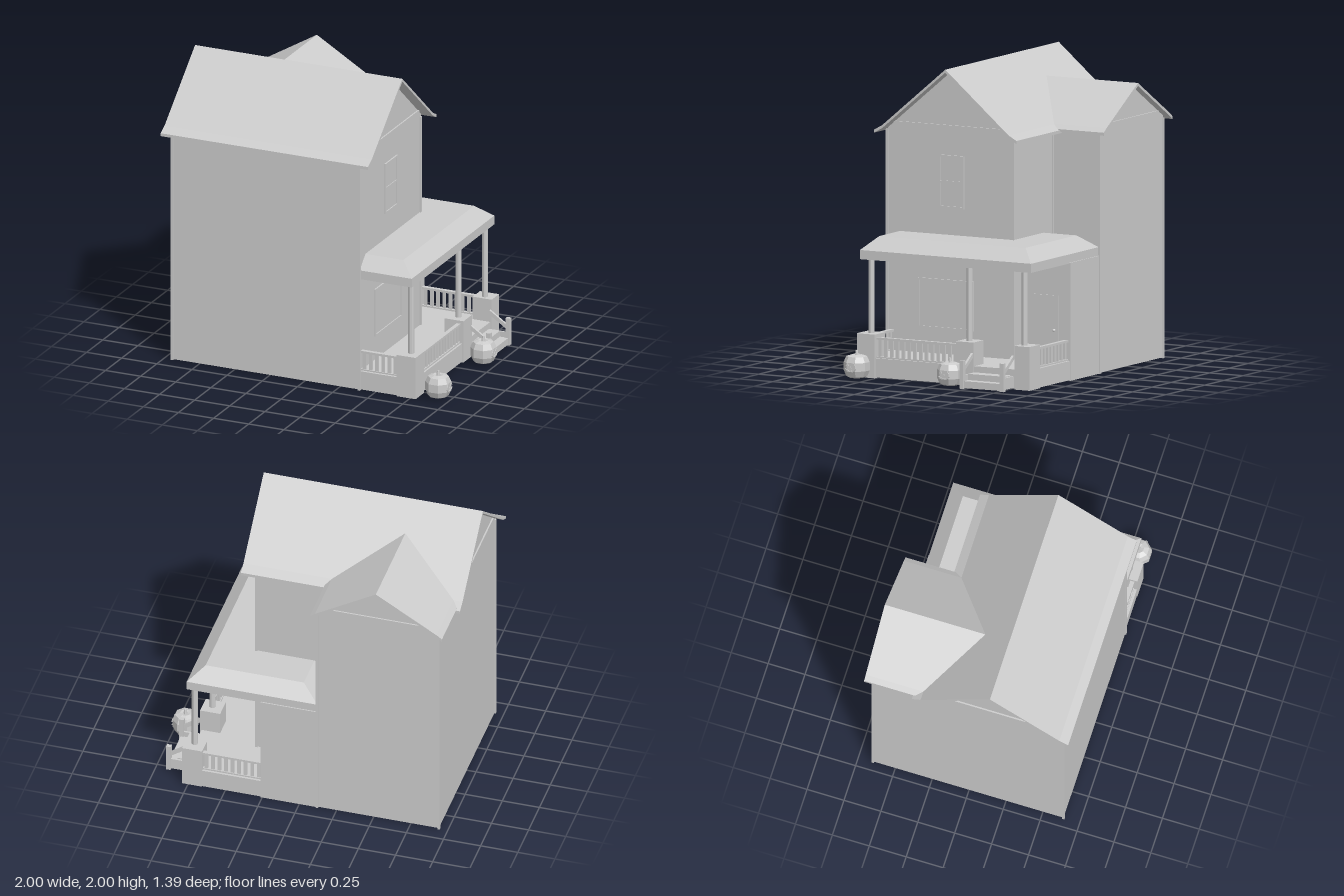
import * as THREE from 'three';

const mat = new THREE.MeshStandardMaterial({ color: 0xcccccc, flatShading: true, side: THREE.DoubleSide });

function add(parent, name, geo, x = 0, y = 0, z = 0) {
  const m = new THREE.Mesh(geo, mat);
  m.name = name;
  m.position.set(x, y, z);
  parent.add(m);
  return m;
}
// Box given by its limits on each axis
function box(parent, name, x0, x1, y0, y1, z0, z1) {
  return add(parent, name, new THREE.BoxGeometry(x1 - x0, y1 - y0, z1 - z0),
    (x0 + x1) / 2, (y0 + y1) / 2, (z0 + z1) / 2);
}
const shape = pts => new THREE.Shape(pts.map(p => new THREE.Vector2(...p)));
const extrude = (s, depth) => new THREE.ExtrudeGeometry(s, { depth, bevelEnabled: false });
// Footprint in (x, z) raised along y
const footprint = (pts, h, hole) => {
  const s = shape(pts.map(([x, z]) => [x, -z]));
  if (hole) s.holes.push(shape(hole.map(([x, z]) => [x, -z])));
  return extrude(s, h).rotateX(-Math.PI / 2);
};
// Rectangular frame around a centre
function frameGeo(w, h, t, d) {
  const rect = (a, b) => shape([[-a, -b], [a, -b], [a, b], [-a, b]]);
  const s = rect(w / 2, h / 2);
  s.holes.push(rect(w / 2 - t, h / 2 - t));
  return extrude(s, d);
}
// Roof section with flared eaves: ridge height, kink and eave half-widths
function roofShape(ridge, kink, eave, eaveY, t) {
  const top = [[-eave, eaveY], [-kink, 1.605], [0, ridge], [kink, 1.605], [eave, eaveY]];
  return shape([...top, ...top.map(([x, y]) => [x, y - t]).reverse()]);
}
const gableShape = (half, apex) => shape([[-half, 1.56], [half, 1.56], [half, 1.585], [0, apex], [-half, 1.585]]);

function buildHouse(g) {
  const outer = [[-0.94, 0.64], [0.39, 0.64], [0.39, -0.3], [-0.12, -0.3], [-0.12, -0.65], [-0.94, -0.65]];
  const inner = [[-0.925, 0.625], [0.375, 0.625], [0.375, -0.285], [-0.135, -0.285], [-0.135, -0.635], [-0.925, -0.635]];
  add(g, 'walls', footprint(outer, 1.57, inner), 0, 0.005, 0);
  for (const [x, z] of outer) box(g, 'cornerBoard', x - 0.008, x + 0.008, 0, 1.57, z - 0.008, z + 0.008);

  // Main roof runs along x
  add(g, 'mainRoof', extrude(roofShape(2, 0.47, 0.53, 1.572, 0.02), 1.475).rotateY(Math.PI / 2), -1, 0, 0.16);
  for (const x of [0.375, -0.94])
    add(g, 'mainGable', extrude(gableShape(0.47, 1.98), 0.015).rotateY(Math.PI / 2), x, 0, 0.16);
  for (const x of [0.39, -0.95]) box(g, 'gableTrim', x, x + 0.01, 1.61, 1.627, -0.27, 0.59);

  // Wing roof, its inner end cut to follow the main slope
  const geo = extrude(roofShape(1.85, 0.41, 0.445, 1.58, 0.02), 1);
  const p = geo.attributes.position;
  for (let i = 0; i < p.count; i++) {
    const y = p.getY(i);
    const run = y > 1.605 ? (2 - y) / 0.84 : 0.47 + (1.605 - y) / 0.55;
    p.setZ(i, p.getZ(i) > 0.5 ? 0.165 - run : -0.7);
  }
  geo.computeVertexNormals();
  add(g, 'wingRoof', geo, -0.53, 0, 0);
  add(g, 'wingGable', extrude(gableShape(0.41, 1.83), 0.015), -0.53, 0, -0.65);
  box(g, 'wingGableTrim', -0.87, -0.19, 1.61, 1.625, -0.66, -0.65);

  // Windows on the gable side
  const win = (name, y, z, w, h) => {
    add(g, name + 'Frame', frameGeo(w, h, 0.012, 0.012).rotateY(Math.PI / 2), 0.388, y, z);
    box(g, name + 'Pane', 0.389, 0.393, y - h / 2 + 0.005, y + h / 2 - 0.005, z - w / 2 + 0.005, z + w / 2 - 0.005);
  };
  win('upperWindow', 1.258, 0.16, 0.19, 0.345);
  box(g, 'windowSash', 0.388, 0.398, 1.25, 1.263, 0.07, 0.25);
  win('lowerWindow', 0.455, 0.203, 0.415, 0.325);

  // Entry room beside the porch
  box(g, 'entrySideWall', -0.12, 0.26, 0, 0.77, -0.65, -0.635);
  box(g, 'entryFrontWall', 0.245, 0.26, 0, 0.77, -0.65, -0.3);
  box(g, 'door', 0.255, 0.266, 0.13, 0.55, -0.56, -0.355);
  add(g, 'doorKnob', new THREE.SphereGeometry(0.011, 10, 8), 0.275, 0.322, -0.535);
}

// Bottom rail to deck with evenly spaced slats, along x or z
function railing(g, axis, a, b, fixed) {
  const part = (name, u0, u1, y0, y1, t) => axis === 'x'
    ? box(g, name, u0, u1, y0, y1, fixed - t, fixed + t)
    : box(g, name, fixed - t, fixed + t, y0, y1, u0, u1);
  part('railTop', a, b, 0.25, 0.265, 0.014);
  part('railBottom', a, b, 0.13, 0.14, 0.012);
  const n = Math.round((b - a) / 0.043);
  for (let i = 0; i < n; i++) {
    const c = a + (i + 0.5) * (b - a) / n;
    part('baluster', c - 0.011, c + 0.011, 0.135, 0.252, 0.006);
  }
}

function buildPorch(g) {
  // Deck and skirts
  box(g, 'deck', 0.385, 0.78, 0.1, 0.13, -0.645, 0.635);
  box(g, 'entryDeck', 0.25, 0.39, 0.1, 0.13, -0.645, -0.3);
  box(g, 'deckSkirtFront', 0.39, 0.78, 0.005, 0.13, 0.62, 0.635);
  box(g, 'deckSkirtBack', 0.25, 0.78, 0.005, 0.13, -0.648, -0.633);
  box(g, 'deckSkirtSide', 0.765, 0.78, 0.005, 0.13, -0.645, 0.635);

  // Pedestals and columns
  for (const [z0, z1, c] of [[0.505, 0.638, 0.565], [-0.23, -0.1, -0.165], [-0.648, -0.535, -0.575]]) {
    box(g, 'pedestal', 0.655, 0.79, 0, 0.285, z0, z1);
    add(g, 'column', new THREE.CylinderGeometry(0.02, 0.02, 0.485, 10), 0.725, 0.5275, c);
  }
  railing(g, 'x', 0.39, 0.655, 0.605);
  railing(g, 'z', -0.1, 0.505, 0.755);
  railing(g, 'x', 0.26, 0.655, -0.62);

  // Hipped roof wrapping the corner
  const plan = [[0.385, 0.632], [0.76, 0.632], [0.76, -0.642], [-0.12, -0.642], [-0.12, -0.295], [0.385, -0.295]];
  add(g, 'porchFascia', footprint(plan, 0.06), 0, 0.765, 0);
  const geo = footprint(plan, 0.085);
  const p = geo.attributes.position;
  for (let i = 0; i < p.count; i++) {
    if (p.getY(i) < 0.04) continue;
    const x = p.getX(i), z = p.getZ(i);
    if (x > 0.7) p.setX(i, 0.66);
    if (x < 0) p.setX(i, 0);
    if (Math.abs(z) > 0.5) p.setZ(i, Math.sign(z) * 0.545);
  }
  geo.computeVertexNormals();
  add(g, 'porchRoof', geo, 0, 0.825, 0);

  // Steps with sloping handrails
  box(g, 'upperStep', 0.78, 0.86, 0.005, 0.09, -0.51, -0.23);
  box(g, 'lowerStep', 0.78, 0.92, 0.005, 0.05, -0.51, -0.23);
  for (const z of [-0.22, -0.52]) {
    box(g, 'stepNewel', 0.9, 0.93, 0, 0.185, z - 0.014, z + 0.014);
    box(g, 'stepStringer', 0.78, 0.91, 0.01, 0.085, z - 0.007, z + 0.007);
    const rail = extrude(shape([[0.785, 0.19], [0.91, 0.105], [0.91, 0.135], [0.785, 0.22]]), 0.016);
    add(g, 'stepHandrail', rail, 0, 0, z - 0.008);
  }
}

// Faceted carved pumpkin facing +x
function buildPumpkin(z) {
  const g = new THREE.Group();
  g.name = 'pumpkin';
  const profile = [[0, 0.025], [0.05, 0.018], [0.068, 0.027], [0.085, 0.065], [0.085, 0.12], [0.068, 0.157], [0.035, 0.168], [0, 0.16]];
  const body = new THREE.LatheGeometry(profile.map(q => new THREE.Vector2(...q)), 8);
  add(g, 'pumpkinBody', body.rotateY(Math.PI / 8));
  add(g, 'pumpkinStem', new THREE.CylinderGeometry(0.008, 0.014, 0.035, 6), 0, 0.178, 0);
  const face = (name, pts) => add(g, name, extrude(shape(pts), 0.01).rotateY(Math.PI / 2), 0.073, 0, 0);
  for (const s of [-1, 1])
    face('pumpkinEye', [[s * 0.012, 0.1], [s * 0.036, 0.1], [s * 0.025, 0.119]]);
  face('pumpkinNose', [[-0.007, 0.085], [0.007, 0.085], [0, 0.098]]);
  face('pumpkinMouth', [[-0.04, 0.082], [-0.02, 0.062], [0.02, 0.062], [0.04, 0.082], [0.018, 0.073],
    [0.012, 0.067], [0.004, 0.074], [-0.004, 0.067], [-0.018, 0.073]]);
  g.position.set(0.918, 0, z);
  return g;
}

export function createModel() {
  const model = new THREE.Group();
  model.name = 'house';
  const house = new THREE.Group(), porch = new THREE.Group();
  house.name = 'mainHouse';
  porch.name = 'porch';
  buildHouse(house);
  buildPorch(porch);
  model.add(house, porch, buildPumpkin(0.565), buildPumpkin(-0.13));
  return model;
}
